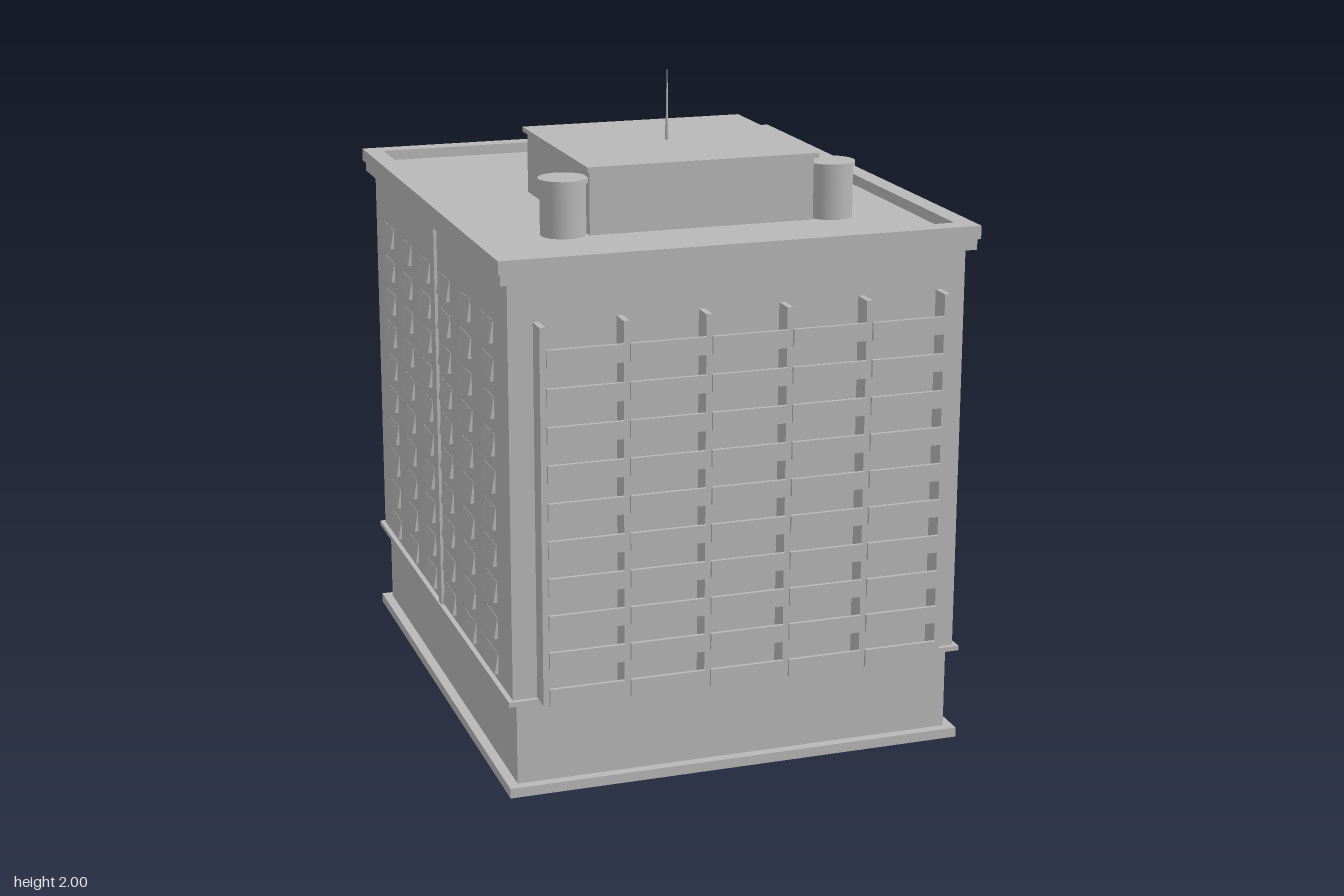
import * as THREE from 'three';

const concrete = new THREE.MeshStandardMaterial({ color: 0xb8b8b8 });
concrete.name = 'concrete grey';

function add(parent, name, geometry) {
  const mesh = new THREE.Mesh(geometry, concrete);
  mesh.name = name;
  parent.add(mesh);
  return mesh;
}

// Box given by its limits on each axis
function box(parent, name, x0, x1, y0, y1, z0, z1) {
  const mesh = add(parent, name, new THREE.BoxGeometry(x1 - x0, y1 - y0, z1 - z0));
  mesh.position.set((x0 + x1) / 2, (y0 + y1) / 2, (z0 + z1) / 2);
  return mesh;
}

function group(parent, name) {
  const g = new THREE.Group();
  g.name = name;
  parent.add(g);
  return g;
}

const FLOORS = 10, STEP = 0.1122;
const MID_Z = 0.055;

// Fins and balconies, built outward along +z from the wall plane z = 0
function balconyFacade(parent, name) {
  const g = group(parent, name);
  const finX = (i) => -0.6125 + i * 0.245;
  for (let i = 0; i < 6; i++) {
    box(g, 'fin', finX(i) - 0.009, finX(i) + 0.009, 0.3, 1.424, -0.01, 0.066);
  }
  for (let f = 0; f < FLOORS; f++) {
    const y = 0.297 + f * STEP;
    for (let i = 0; i < 5; i++) {
      const x0 = finX(i) + 0.009, x1 = finX(i + 1) - 0.009;
      box(g, 'balconyFloor', x0, x1, y, y + 0.012, -0.01, 0.066);
      box(g, 'balconyRail', x0, x1, y, y + 0.053, 0.064, 0.075);
    }
  }
  return g;
}

// Sloping window panel: flush at the top, standing out at the bottom
function windowGeometry() {
  const profile = new THREE.Shape();
  profile.moveTo(-0.01, 0);
  profile.lineTo(0.012, 0);
  profile.lineTo(0.001, 0.066);
  profile.lineTo(-0.01, 0.066);
  const g = new THREE.ExtrudeGeometry(profile, { depth: 0.127, bevelEnabled: false });
  g.translate(0, 0, -0.0635);
  return g;
}

// Windows and central pilaster of a side wall, facing +x
function sideFacade(parent, name) {
  const g = group(parent, name);
  const pane = windowGeometry();
  for (const z of [0.67, 0.415, 0.165, -0.085, -0.335, -0.585]) {
    for (let f = 0; f < FLOORS; f++) {
      add(g, 'window', pane).position.set(0.695, 0.32 + f * STEP, z);
    }
  }
  box(g, 'pilaster', 0.69, 0.705, 0.3, 1.54, 0.038, 0.075);
  return g;
}

export function createModel() {
  const model = new THREE.Group();
  model.name = 'building';

  // Ground storey
  box(model, 'plinth', -0.71, 0.71, 0, 0.03, -0.795, 0.905);
  box(model, 'podium', -0.68, 0.68, 0.03, 0.285, -0.745, 0.875);
  box(model, 'ledge', -0.71, 0.71, 0.285, 0.3, -0.795, 0.905);

  // Glazed back of the ground storey
  const shopfront = group(model, 'shopfront');
  box(shopfront, 'header', -0.68, 0.68, 0.25, 0.285, -0.765, -0.74);
  for (let i = 0; i <= 10; i++) {
    const x = -0.64 + i * 0.128;
    box(shopfront, 'mullion', x - 0.006, x + 0.006, 0.03, 0.25, -0.765, -0.74);
  }
  for (const s of [-1, 1]) {
    box(shopfront, 'cornerPier', s * 0.66 - 0.02, s * 0.66 + 0.02, 0.03, 0.25, -0.765, -0.74);
  }

  // Entrance porch
  const porch = group(model, 'porch');
  box(porch, 'porchFloor', -0.265, 0.265, 0, 0.012, -0.965, -0.79);
  box(porch, 'canopy', -0.265, 0.265, 0.234, 0.25, -0.965, -0.78);
  for (const s of [-1, 1]) {
    const x = s * 0.248;
    box(porch, 'porchPost', x - 0.01, x + 0.01, 0.012, 0.234, -0.957, -0.937);
    box(porch, 'wallPost', x - 0.01, x + 0.01, 0.03, 0.234, -0.795, -0.765);
  }

  // Tower
  box(model, 'tower', -0.695, 0.695, 0.3, 1.54, -0.78, 0.89);
  balconyFacade(model, 'frontFacade').position.z = 0.89;
  const back = balconyFacade(model, 'backFacade');
  back.rotation.y = Math.PI;
  back.position.z = -0.78;
  sideFacade(model, 'leftFacade');
  const right = sideFacade(model, 'rightFacade');
  right.rotation.y = Math.PI;
  right.position.z = 2 * MID_Z;
  // keep the window spacing equal on both sides
  right.children.forEach((m) => { m.position.z = 2 * MID_Z - m.position.z; });

  // Cornice and roof with a raised rim
  box(model, 'cornice', -0.72, 0.72, 1.54, 1.58, -0.81, 0.915);
  const rim = new THREE.Shape();
  rim.moveTo(-0.728, -0.873).lineTo(0.728, -0.873).lineTo(0.728, 0.873).lineTo(-0.728, 0.873);
  const hole = new THREE.Path();
  hole.moveTo(-0.67, -0.81).lineTo(-0.67, 0.81).lineTo(0.67, 0.81).lineTo(0.67, -0.81);
  rim.holes.push(hole);
  const parapet = add(model, 'parapet', new THREE.ExtrudeGeometry(rim, { depth: 0.04, bevelEnabled: false }));
  parapet.rotation.x = -Math.PI / 2;
  parapet.position.set(0, 1.573, 0.05);

  // Roof house
  const house = group(model, 'roofHouse');
  box(house, 'roofHouseWalls', -0.35, 0.35, 1.57, 1.77, -0.115, 0.55);
  box(house, 'roofHouseSlab', -0.361, 0.361, 1.77, 1.785, -0.133, 0.565);
  box(house, 'backPanel', -0.3, 0.3, 1.62, 1.715, -0.123, -0.11);

  // Water tanks
  for (const s of [-1, 1]) {
    const tank = group(model, 'waterTank');
    tank.position.set(s * 0.42, 0, 0.512);
    add(tank, 'tankBody', new THREE.CylinderGeometry(0.068, 0.068, 0.17, 24)).position.y = 1.655;
    add(tank, 'tankLid', new THREE.CylinderGeometry(0.074, 0.074, 0.014, 24)).position.y = 1.743;
  }

  // Mast
  const mast = group(model, 'mast');
  mast.position.z = 0.217;
  add(mast, 'mastBase', new THREE.CylinderGeometry(0.005, 0.006, 0.06, 10)).position.y = 1.812;
  add(mast, 'mastRod', new THREE.CylinderGeometry(0.0015, 0.004, 0.16, 10)).position.y = 1.92;

  return model;
}
